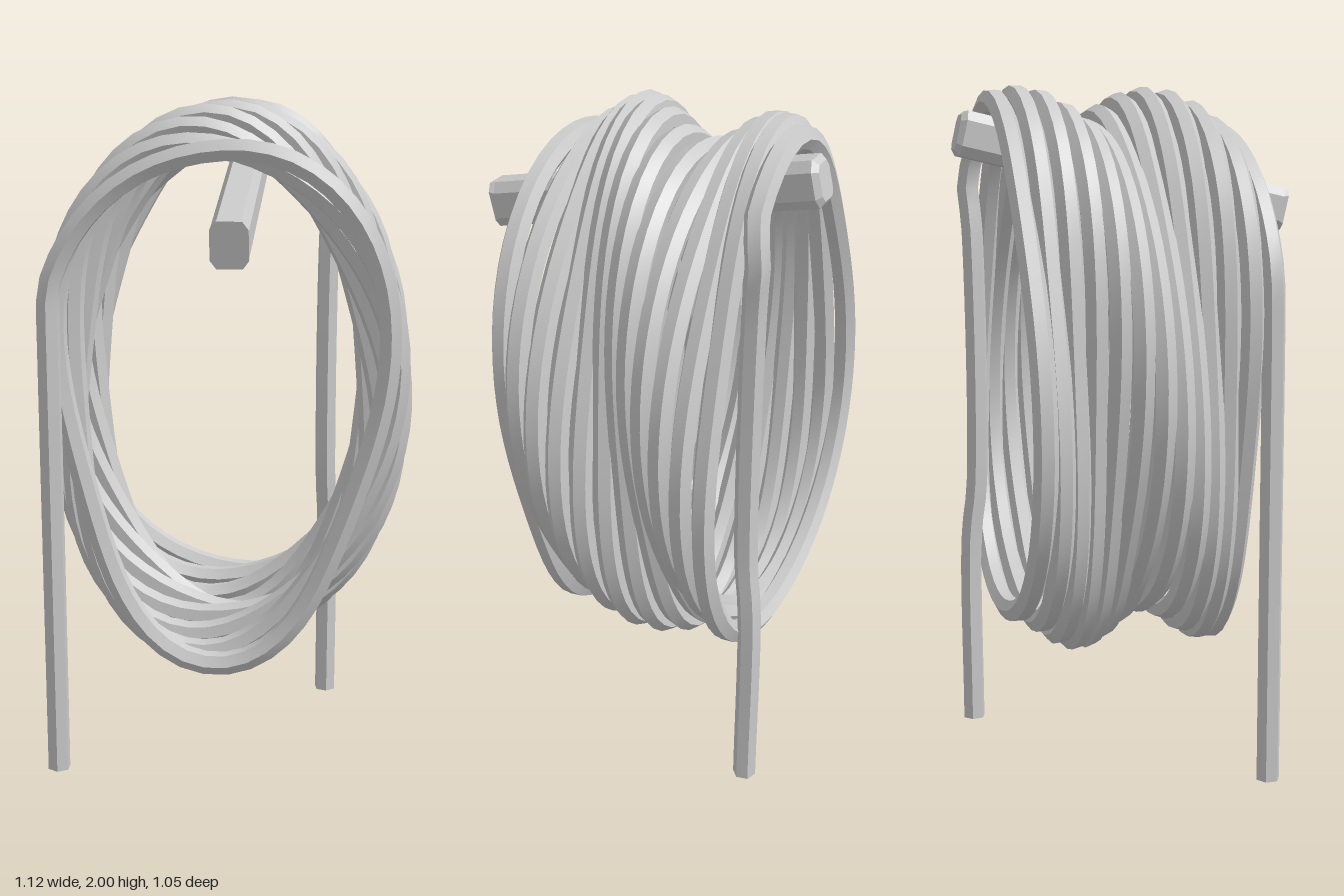
import * as THREE from 'three';
import { toCreasedNormals } from 'three/addons/utils/BufferGeometryUtils.js';

const ROPE_R = 0.035;
const TURNS = 12;
const PITCH = 0.0555;

// Point on the coil: an elliptical helix with a three-lobed ripple that twists along z
function coilPoint(theta) {
  const z = 0.275 - PITCH * theta / (Math.PI * 2);
  const angle = Math.PI - theta;
  const ripple = 0.05 * Math.sin(Math.PI * 2 * (z - 0.045) / 0.4 - 3 * angle);
  return new THREE.Vector3(
    (0.478 + ripple) * Math.cos(angle),
    1.153 + (0.765 + ripple) * Math.sin(angle),
    z
  );
}

function ropePath() {
  const v = (x, y, z) => new THREE.Vector3(x, y, z);
  // front hanging end
  const points = [v(-0.487, 0, 0.275), v(-0.487, 0.7, 0.275), v(-0.487, 1.3, 0.275), v(-0.487, 1.39, 0.274)];
  // wound turns
  const start = 0.42, end = TURNS * Math.PI * 2 + 2.17, steps = TURNS * 36;
  for (let i = 0; i <= steps; i++) points.push(coilPoint(start + (end - start) * i / steps));
  // rear hanging end
  points.push(v(0.308, 1.72, -0.428), v(0.298, 1.58, -0.418), v(0.296, 0.78, -0.414),
    v(0.303, 0.6, -0.432), v(0.304, 0, -0.432));
  const curve = new THREE.CatmullRomCurve3(points);
  curve.arcLengthDivisions = 5000;
  return curve;
}

// Flat hexagon closing one end of the rope
function endCap(tube, first) {
  const p = tube.attributes.position;
  const ring = [];
  for (let i = 0; i < 6; i++) ring.push(new THREE.Vector3().fromBufferAttribute(p, first + i));
  const tris = [];
  for (let i = 1; i < 5; i++) tris.push(ring[0], ring[i], ring[i + 1]);
  const geo = new THREE.BufferGeometry().setFromPoints(tris);
  geo.computeVertexNormals();
  return geo;
}

// Chamfered bar with a bevelled back end and a square-cut front end
function pegGeometry(w, h, length) {
  const b = 0.016, x = w / 2 - b, y = h / 2 - b, cx = 0.012, cy = 0.018;
  const shape = new THREE.Shape([
    [x, -y + cy], [x, y - cy], [x - cx, y], [-x + cx, y],
    [-x, y - cy], [-x, -y + cy], [-x + cx, -y], [x - cx, -y],
  ].map(([px, py]) => new THREE.Vector2(px, py)));
  const geo = new THREE.ExtrudeGeometry(shape, {
    depth: length - 2 * b, bevelEnabled: true, bevelSegments: 1, bevelSize: b, bevelThickness: b,
  });
  geo.translate(0, 0, b - length / 2);
  // widen the front face to the full section
  const p = geo.attributes.position;
  for (let i = 0; i < p.count; i++) {
    if (p.getZ(i) > length / 2 - 0.001) {
      p.setX(i, p.getX(i) * (x + b) / x);
      p.setY(i, p.getY(i) * (y + b) / y);
    }
  }
  geo.computeVertexNormals();
  return geo;
}

export function createModel() {
  const model = new THREE.Group();
  model.name = 'ropeCoilOnPeg';
  const flat = new THREE.MeshStandardMaterial({ color: 0xcccccc, flatShading: true });
  const smooth = new THREE.MeshStandardMaterial({ color: 0xcccccc });
  const capMaterial = new THREE.MeshStandardMaterial({ color: 0xcccccc, side: THREE.DoubleSide });

  const add = (parent, name, geo, mat) => {
    const mesh = new THREE.Mesh(geo, mat);
    mesh.name = name;
    parent.add(mesh);
    return mesh;
  };

  // Rope: smooth along its length, sharp along the six long edges
  const rope = new THREE.Group();
  rope.name = 'rope';
  const segments = 800;
  const tube = new THREE.TubeGeometry(ropePath(), segments, ROPE_R, 6, false);
  add(rope, 'ropeCoil', toCreasedNormals(tube, 0.7), smooth);
  add(rope, 'frontRopeEnd', endCap(tube, 0), capMaterial);
  add(rope, 'rearRopeEnd', endCap(tube, segments * 7), capMaterial);
  model.add(rope);

  // Peg the coil hangs on, sloping down to the front
  const peg = add(model, 'peg', pegGeometry(0.106, 0.134, 1.045), flat);
  peg.position.set(0.055, 1.75, 0);
  peg.rotation.x = 0.222;

  return model;
}
